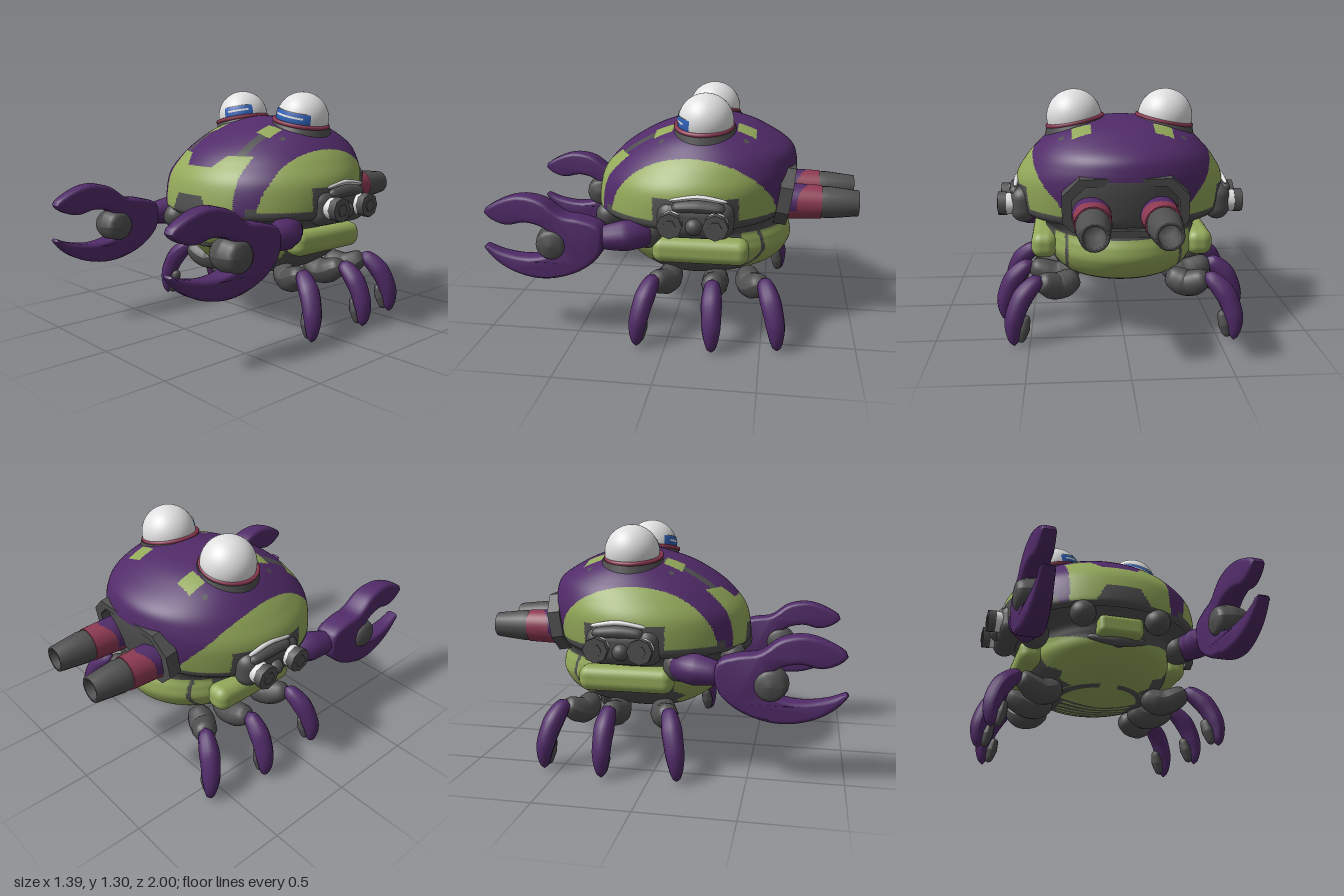
import * as THREE from 'three';
import { RoundedBoxGeometry } from 'three/addons/geometries/RoundedBoxGeometry.js';
import { toCreasedNormals } from 'three/addons/utils/BufferGeometryUtils.js';

const mat = (name, color, side = THREE.FrontSide) => {
  const m = new THREE.MeshStandardMaterial({ color, side });
  m.name = name;
  return m;
};

export function createModel() {
  const purple = mat('purple', 0x512b69), green = mat('green', 0x93a95a);
  const grey = mat('dark grey', 0x505050, THREE.DoubleSide), white = mat('white', 0xe0e0e0);
  const red = mat('dull red', 0x8e3a52), blue = mat('blue', 0x2f62b8);
  const PALETTE = [purple, green, grey, red];
  const [P, G, D, R] = [0, 1, 2, 3];
  const model = new THREE.Group();
  model.name = 'crabMachine';

  const add = (name, geo, material, x = 0, y = 0, z = 0, parent = model) => {
    const m = new THREE.Mesh(geo, material);
    m.name = name;
    m.position.set(x, y, z);
    parent.add(m);
    return m;
  };

  // Sort triangles into one geometry group per colour, chosen by rule(x, y, z)
  const paint = (geo, rule) => {
    const p = geo.attributes.position, idx = geo.index.array, bins = PALETTE.map(() => []);
    for (let i = 0; i < idx.length; i += 3) {
      const t = [idx[i], idx[i + 1], idx[i + 2]];
      const mid = (get) => (get(t[0]) + get(t[1]) + get(t[2])) / 3;
      bins[rule(mid((k) => p.getX(k)), mid((k) => p.getY(k)), mid((k) => p.getZ(k)))].push(...t);
    }
    geo.clearGroups();
    let start = 0;
    bins.forEach((b, k) => {
      if (b.length) geo.addGroup(start, b.length, k);
      start += b.length;
    });
    geo.setIndex(bins.flat());
    return geo;
  };

  // Loft oval rings, listed bottom to top as [y, half width, front z, back z]
  const loft = (rings, cols, rows) => {
    const a = new THREE.CatmullRomCurve3(rings.map((r) => new THREE.Vector3(r[1], r[0], 0)), false, 'catmullrom');
    const b = new THREE.CatmullRomCurve3(rings.map((r) => new THREE.Vector3(r[2], r[3], 0)), false, 'catmullrom');
    const pos = [], idx = [];
    for (let j = 0; j <= rows; j++) {
      const w = a.getPoint(j / rows), d = b.getPoint(j / rows);
      for (let i = 0; i < cols; i++) {
        const t = (i / cols) * Math.PI * 2;
        pos.push(w.x * Math.cos(t), w.y, (d.x + d.y) / 2 + ((d.x - d.y) / 2) * Math.sin(t));
        if (j === rows) continue;
        const k = j * cols + i, n = j * cols + ((i + 1) % cols);
        idx.push(k, k + cols, n, n, k + cols, n + cols);
      }
    }
    const g = new THREE.BufferGeometry();
    g.setAttribute('position', new THREE.Float32BufferAttribute(pos, 3));
    g.setIndex(idx);
    g.computeVertexNormals();
    return g;
  };

  // Rounded limb along a curve, with radii spread evenly over its length
  const limb = (points, radii, segs = 20, sides = 12) => {
    const curve = new THREE.CatmullRomCurve3(points.map((q) => new THREE.Vector3(...q)));
    const g = new THREE.TubeGeometry(curve, segs, 1, sides), p = g.attributes.position;
    const v = new THREE.Vector3();
    for (let i = 0; i <= segs; i++) {
      const u = i / segs, c = curve.getPointAt(u), f = u * (radii.length - 1);
      const k = Math.min(Math.floor(f), radii.length - 2);
      const r = THREE.MathUtils.lerp(radii[k], radii[k + 1], f - k) * Math.sqrt(Math.max(0, 1 - (2 * u - 1) ** 8));
      for (let j = 0; j <= sides; j++) {
        const n = i * (sides + 1) + j;
        v.fromBufferAttribute(p, n).sub(c).multiplyScalar(r).add(c);
        p.setXYZ(n, v.x, v.y, v.z);
      }
    }
    g.computeVertexNormals();
    return g;
  };

  // Domed upper shell with its colour panels
  const shell = loft([
    [0.63, 0.55, 0.44, -0.6], [0.67, 0.575, 0.465, -0.63], [0.82, 0.575, 0.44, -0.66],
    [0.92, 0.525, 0.37, -0.66], [1.0, 0.46, 0.28, -0.625], [1.08, 0.37, 0.14, -0.5],
    [1.13, 0.25, 0, -0.38], [1.155, 0.11, -0.09, -0.23], [1.16, 0, -0.16, -0.16]], 288, 128);
  add('shell', paint(shell, (x, y, z) => {
    const ax = Math.abs(x);
    if (y < 0.655) return D;
    if (z < -0.5 && ax < 0.3 && y < 0.88 - Math.max(0, ax - 0.2)) return D;
    if (ax > 0.3 && ((z + 0.12) / 0.44) ** 2 + ((y - 0.66) / 0.33) ** 2 < 1)
      return (Math.abs(z + 0.15) < 0.22 && y < 0.8) || y < 0.68 ? D : G;
    if (z > 0.1 && ax < 0.285) {
      if (y < 0.75 && ax < 0.15 - (y - 0.66) * 0.6) return D;
      if (y < 0.9 + 0.06 * THREE.MathUtils.clamp((ax - 0.1) / 0.05, 0, 1)) return G;
    }
    if (z > 0.1 && ax > 0.34 && y < 0.7) return D;
    if (Math.abs(ax - 0.215) < 0.05 && (Math.abs(z - 0.06) < 0.05 || Math.abs(z + 0.39) < 0.05)) return G;
    if (z > 0 && Math.abs(ax - 0.22) < 0.025 && y > 0.95) return D;
    if (Math.hypot(ax - 0.32, z - 0.06) < 0.014 || Math.hypot(ax - 0.32, z + 0.39) < 0.014) return D;
    return P;
  }), PALETTE);

  // Lower hull: green plates over dark structure, striped belly
  const hull = loft([
    [0.24, 0, -0.05, -0.05], [0.26, 0.13, 0.08, -0.2], [0.3, 0.27, 0.17, -0.42],
    [0.36, 0.36, 0.26, -0.57], [0.45, 0.42, 0.34, -0.635], [0.52, 0.42, 0.36, -0.635],
    [0.58, 0.43, 0.38, -0.61], [0.65, 0.54, 0.44, -0.6]], 200, 72);
  add('hull', paint(hull, (x, y, z) => {
    const ax = Math.abs(x);
    if (z < -0.38) {
      if (y < 0.34) return ax < 0.2 && Math.sin(z * 90) > 0 ? G : D;
      return y < 0.57 && y > 0.355 && Math.abs(ax - 0.3) > 0.008 ? G : D;
    }
    if (y > 0.44 + ax * 0.28 || (z < 0.08 && y > 0.3)) return D;
    if (z < -0.08) return ax < 0.2 && Math.sin(z * 90) > 0.1 ? G : D;
    if (Math.abs(y - 0.29) < 0.006 && ax > 0.05) return D;
    return ax > 0.26 && y < 0.33 + (ax - 0.2) * 0.5 ? D : G;
  }), PALETTE);

  // Face below the shell
  add('chinBlock', new RoundedBoxGeometry(0.25, 0.11, 0.12, 3, 0.03), green, 0, 0.54, 0.36);
  add('mouth', limb([[-0.17, 0.5, 0.31], [0, 0.475, 0.35], [0.17, 0.5, 0.31]], [0.02, 0.03, 0.02]), grey);

  // Framed rear hatch around the cannons
  const octagon = (w, h, c, Kind) => new Kind([[w, h - c], [w - c, h], [c - w, h], [-w, h - c],
    [-w, c - h], [c - w, -h], [w - c, -h], [w, c - h]].map((q) => new THREE.Vector2(...q)));
  const hatch = octagon(0.32, 0.16, 0.09, THREE.Shape);
  hatch.holes.push(octagon(0.27, 0.12, 0.07, THREE.Path));
  add('hatchFrame', new THREE.ExtrudeGeometry(hatch, { depth: 0.07, bevelEnabled: false }), grey, 0, 0.74, -0.635)
    .rotation.x = -0.15;

  // Claw outline in the z-y plane, thinned towards the tips
  const outline = [[0.34, 0.5], [0.42, 0.41], [0.55, 0.35], [0.7, 0.33], [0.85, 0.365], [0.95, 0.43], [1, 0.5],
    [0.9, 0.465], [0.78, 0.445], [0.68, 0.455], [0.62, 0.48], [0.59, 0.54], [0.64, 0.61], [0.75, 0.64], [0.86, 0.62],
    [0.95, 0.65], [0.985, 0.69], [0.9, 0.75], [0.78, 0.785], [0.66, 0.765], [0.55, 0.69], [0.45, 0.675], [0.34, 0.63]];
  const contour = new THREE.CatmullRomCurve3(outline.map((q) => new THREE.Vector3(...q, 0)), true).getSpacedPoints(90);
  const claw = new THREE.ExtrudeGeometry(new THREE.Shape(contour.slice(0, 90).map((q) => new THREE.Vector2(q.x, q.y))),
    { depth: 0.08, bevelThickness: 0.03, bevelSize: 0.02, bevelOffset: -0.02, bevelSegments: 3 });
  claw.translate(0, 0, -0.04).rotateY(-Math.PI / 2);
  const cp = claw.attributes.position;
  for (let i = 0; i < cp.count; i++)
    cp.setX(i, cp.getX(i) * (1 - 0.5 * THREE.MathUtils.clamp((cp.getZ(i) - 0.6) / 0.4, 0, 1)));
  const clawGeo = toCreasedNormals(claw, 0.7);

  // Hollow cannon barrel, pointing backwards
  const barrel = new THREE.LatheGeometry([[0.085, 0], [0.088, 0.06], [0.07, 0.22], [0.052, 0.22], [0.05, 0.06], [0, 0.06]]
    .map((q) => new THREE.Vector2(...q)), 20).rotateX(-Math.PI / 2);
  const sleeve = paint(new THREE.CylinderGeometry(0.092, 0.1, 0.22, 48, 24).rotateX(-Math.PI / 2),
    (x, y, z) => (y > -0.03 && z > Math.abs(x) * 0.6 - 0.035 ? P : R));

  // Leg layout: hip z, knee, foot
  const legs = [
    [0.0, [0.49, 0.33, 0.08], [0.63, 0.003, 0.15]],
    [-0.24, [0.51, 0.33, -0.24], [0.65, 0.003, -0.25]],
    [-0.4, [0.45, 0.33, -0.51], [0.58, 0, -0.59]]];

  for (const s of [1, -1]) {
    const side = s > 0 ? 'left' : 'right';
    const part = (name, geo, material, x, y, z) => add(side + name, geo, material, s * x, y, z);
    const path = (pts) => pts.map(([x, y, z]) => [s * x, y, z]);

    // Domed eye on a tilted collar, with a curved visor set in the front
    const eye = new THREE.Group();
    eye.name = side + 'Eye';
    eye.position.set(s * 0.245, 1.125, -0.17);
    eye.rotation.z = -s * 0.2;
    model.add(eye);
    add('eyeCollar', new THREE.CylinderGeometry(0.16, 0.215, 0.13, 32), grey, 0, -0.067, 0, eye);
    add('eyeRing', new THREE.TorusGeometry(0.152, 0.012, 8, 40).rotateX(Math.PI / 2), red, 0, 0.004, 0.008, eye);
    add('eyeDome', new THREE.SphereGeometry(0.15, 40, 28), white, 0, 0.025, 0, eye);
    const [yaw, half] = s > 0 ? [0.1, 0.95] : [0.65, 0.6];
    const visor = (name, r, arc, top, height, material) => add(name, new THREE.SphereGeometry(
      r, 28, 4, Math.PI / 2 + yaw - arc, arc * 2, top, height), material, 0, 0.025, 0, eye);
    visor('eyeVisor', 0.152, half, 1.26, 0.42, blue);
    visor('visorStripe', 0.154, half * 0.7, 1.4, 0.07, white);
    visor('visorLip', 0.154, half * 0.85, 1.23, 0.035, grey);

    // Cheek ball and cannon
    part('Cheek', new THREE.SphereGeometry(0.072, 24, 16), grey, 0.21, 0.595, 0.385);
    part('CannonSleeve', sleeve, PALETTE, 0.17, 0.705, -0.69);
    part('CannonBarrel', barrel, grey, 0.17, 0.705, -0.78);

    // Side pod with two capped nozzles, and the skirt below it
    part('Pod', new RoundedBoxGeometry(0.14, 0.2, 0.4, 4, 0.07), grey, 0.53, 0.69, -0.15);
    part('PodTrim', limb([[0, -0.01, -0.15], [0, 0.01, 0], [0, -0.01, 0.15]], [0.012, 0.014, 0.012]), white, 0.57, 0.807, -0.17);
    part('PodRidge', limb([[0, 0, -0.15], [0, 0.01, 0], [0, 0, 0.13]], [0.03, 0.035, 0.03]), grey, 0.575, 0.76, -0.16);
    part('PodBoss', new THREE.SphereGeometry(0.045, 16, 12), grey, 0.595, 0.67, -0.15);
    for (const z of [-0.035, -0.265]) {
      const drum = (r, w, n) => new THREE.CylinderGeometry(r, r, w, n).rotateZ(Math.PI / 2);
      part('NozzleBand', drum(0.06, 0.06, 20), white, 0.595, 0.69, z);
      part('NozzleCap', drum(0.066, 0.045, 8), grey, 0.645, 0.69, z);
      part('NozzleHub', drum(0.035, 0.012, 6), grey, 0.667, 0.69, z);
    }
    part('Skirt', new RoundedBoxGeometry(0.14, 0.14, 0.52, 4, 0.055), green, 0.42, 0.485, -0.165);

    // Arm and claw
    part('Shoulder', new THREE.SphereGeometry(0.085, 20, 14), grey, 0.42, 0.57, 0.12);
    part('Arm', limb(path([[0.42, 0.57, 0.1], [0.49, 0.575, 0.2], [0.52, 0.56, 0.38]]), [0.07, 0.085, 0.06]), purple, 0, 0, 0);
    part('Claw', clawGeo, purple, 0.52, 0, 0);
    part('ClawHinge', limb([[-0.1, 0, 0], [0, 0, 0], [0.1, 0, 0]], [0.075, 0.095, 0.075], 20, 16), grey, 0.52, 0.53, 0.61);

    // Three walking legs
    for (const [hz, k, f] of legs) {
      const mix = (t, dx, y) => [k[0] + (f[0] - k[0]) * t + dx, y, k[2] + (f[2] - k[2]) * t];
      part('Thigh', limb(path([[0.24, 0.32, hz], [0.35, 0.27, (hz * 2 + k[2]) / 3], k]), [0.055, 0.075, 0.07, 0.05]), grey, 0, 0, 0);
      part('Shin', limb(path([mix(-0.1, 0, 0.35), mix(0.5, 0.02, 0.25), mix(0.9, 0.015, 0.12), f]),
        [0.042, 0.056, 0.05, 0.026]), purple, 0, 0, 0);
      part('FootPad', limb(path([mix(0.6, -0.01, 0.16), mix(0.75, -0.015, 0.09), mix(0.85, -0.01, 0.012)]),
        [0.025, 0.035, 0.02]), grey, 0, 0, 0);
    }
  }
  return model;
}
